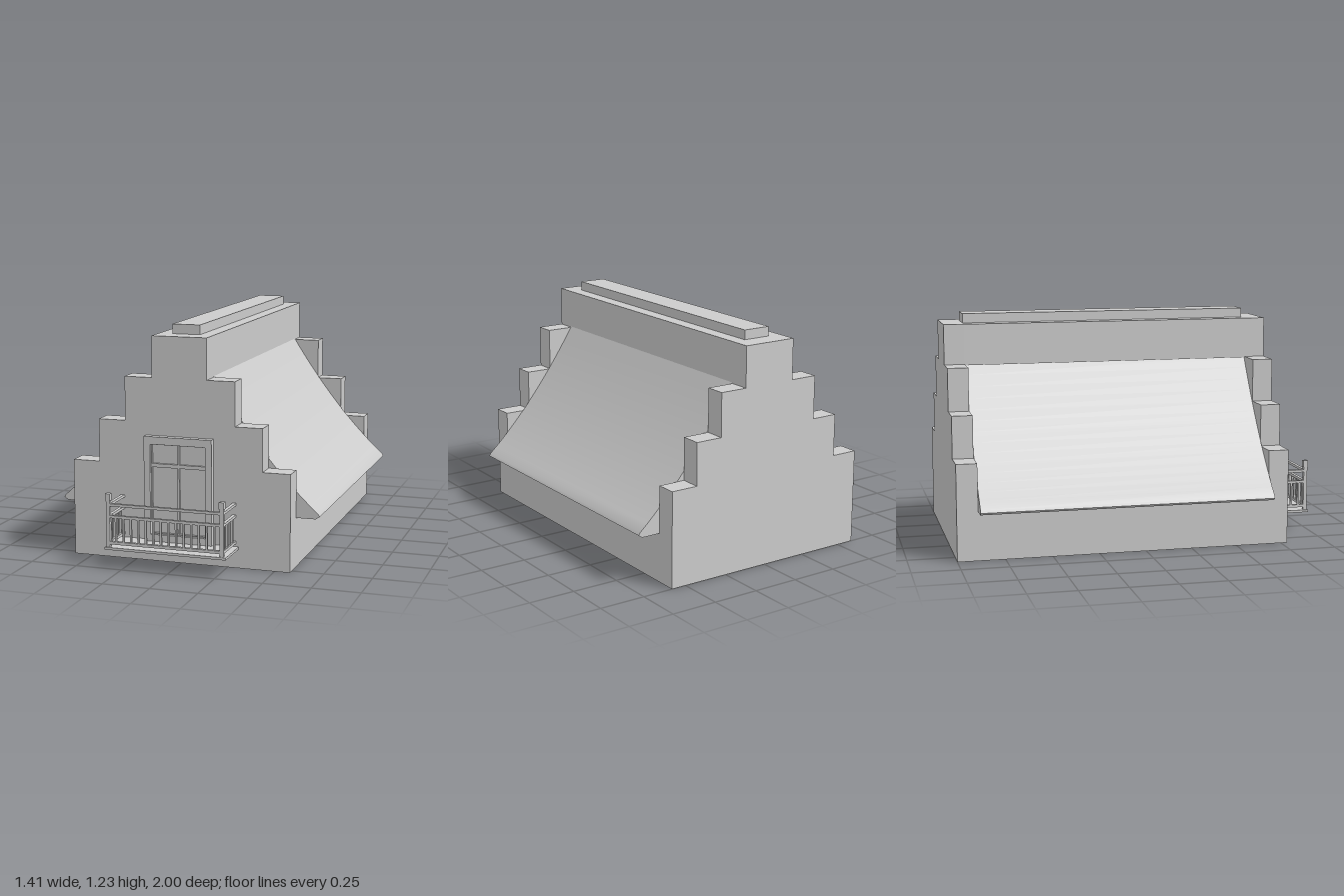
import * as THREE from 'three';
import { toCreasedNormals } from 'three/addons/utils/BufferGeometryUtils.js';

const grey = new THREE.MeshStandardMaterial({ color: 0xcccccc, side: THREE.DoubleSide });
const CX = -0.008;                 // centre line of the walls
const FRONT = 0.785, BACK = -1;    // outer faces of the gables
const ROOF_F = 0.675, ROOF_B = -0.89;

function add(parent, name, geometry) {
  const mesh = new THREE.Mesh(geometry, grey);
  mesh.name = name;
  parent.add(mesh);
  return mesh;
}

// Box given by its limits on each axis
function box(parent, name, x0, x1, y0, y1, z0, z1) {
  const g = new THREE.BoxGeometry(x1 - x0, y1 - y0, z1 - z0);
  g.translate((x0 + x1) / 2, (y0 + y1) / 2, (z0 + z1) / 2);
  return add(parent, name, g);
}

function rect(x0, x1, y0, y1, Type = THREE.Shape) {
  return new Type([[x0, y0], [x1, y0], [x1, y1], [x0, y1]].map(p => new THREE.Vector2(...p)));
}

// Stepped outline, counter-clockwise from the lower right corner
function steps(bottom) {
  const right = [[0.59, bottom], [0.59, 0.51], [0.443, 0.51], [0.443, 0.735],
    [0.297, 0.735], [0.297, 0.965], [0.148, 0.965], [0.148, 1.18]];
  const left = right.map(([x, y]) => [-x, y]).reverse();
  return [...right, ...left].map(([x, y]) => new THREE.Vector2(x + CX, y));
}

// Quads swept along z under an open outline
function strip(points, z0, z1) {
  const pos = [];
  for (let i = 0; i < points.length - 1; i++) {
    const a = points[i], b = points[i + 1];
    pos.push(a.x, a.y, z0, b.x, b.y, z0, b.x, b.y, z1);
    pos.push(a.x, a.y, z0, b.x, b.y, z1, a.x, a.y, z1);
  }
  const g = new THREE.BufferGeometry();
  g.setAttribute('position', new THREE.Float32BufferAttribute(pos, 3));
  g.computeVertexNormals();
  return g;
}

// Gable open at the bottom: outer face, stepped rim, inner face above the eaves
function gable(parent, name, outer, inner) {
  const group = new THREE.Group();
  group.name = name;
  const face = (part, bottom, z, forward) => {
    const m = add(group, part, new THREE.ShapeGeometry(new THREE.Shape(steps(bottom))));
    m.position.z = z;
    if (!forward) {
      m.rotation.y = Math.PI;
      m.position.x = 2 * CX;
    }
  };
  face('outerFace', 0, outer, outer > inner);
  face('innerFace', 0.26, inner, outer < inner);
  add(group, 'steppedRim', strip(steps(0), Math.min(outer, inner), Math.max(outer, inner)));
  parent.add(group);
}

function roof(parent) {
  // Flared slope from eave to ridge
  const curve = new THREE.QuadraticBezierCurve(
    new THREE.Vector2(0.698, 0.288), new THREE.Vector2(0.41, 0.54), new THREE.Vector2(0.14, 0.97));
  const side = [new THREE.Vector2(0.685, 0.26), new THREE.Vector2(0.706, 0.274), ...curve.getPoints(14)];
  const mirrored = side.map(p => new THREE.Vector2(-p.x, p.y)).reverse();
  const g = new THREE.ExtrudeGeometry(new THREE.Shape([...side, ...mirrored]),
    { depth: ROOF_F - ROOF_B, bevelEnabled: false });
  g.translate(0, 0, ROOF_B);
  add(parent, 'roof', toCreasedNormals(g, 0.35));
  box(parent, 'ridge', CX - 0.148, CX + 0.148, 0.96, 1.18, ROOF_B, ROOF_F);
  box(parent, 'ridgeCap', CX - 0.075, CX + 0.075, 1.18, 1.23, ROOF_B, ROOF_F);
}

function door(parent) {
  const group = new THREE.Group();
  group.name = 'balconyDoor';
  const panel = (name, shape, z, depth) => {
    const g = new THREE.ExtrudeGeometry(shape, { depth, bevelEnabled: false });
    g.translate(0, 0, z);
    add(group, name, g);
  };
  const frame = rect(-0.191, 0.175, 0.112, 0.665);
  frame.holes.push(rect(-0.157, 0.141, 0.15, 0.625, THREE.Path));
  panel('doorFrame', frame, FRONT, 0.035);
  const leaves = rect(-0.157, 0.141, 0.112, 0.625);
  for (const [x0, x1] of [[-0.153, -0.014], [-0.004, 0.137]]) {
    leaves.holes.push(rect(x0, x1, 0.155, 0.503, THREE.Path));
    leaves.holes.push(rect(x0, x1, 0.522, 0.621, THREE.Path));
  }
  panel('doorLeaves', leaves, FRONT, 0.018);
  box(group, 'doorPanes', -0.157, 0.141, 0.112, 0.625, FRONT - 0.005, FRONT + 0.004);
  parent.add(group);
}

function balcony(parent) {
  const group = new THREE.Group();
  group.name = 'balcony';
  const left = -0.322, right = 0.286, front = 0.984;
  box(group, 'balconyFloor', -0.34, 0.31, 0.1, 0.113, FRONT, 1);
  const rails = [[0.128, 0.143], [0.266, 0.28], [0.327, 0.341]];
  for (const [y0, y1] of rails) {
    box(group, 'frontRail', left, right, y0, y1, front - 0.009, front + 0.009);
    for (const x of [left, right]) box(group, 'sideRail', x - 0.009, x + 0.009, y0, y1, FRONT, front);
  }
  for (const x of [left, right]) {
    box(group, 'post', x - 0.01, x + 0.01, 0.113, 0.36, front - 0.01, front + 0.01);
    box(group, 'postCap', x - 0.013, x + 0.013, 0.357, 0.393, front - 0.013, front + 0.013);
    for (let i = 0; i < 4; i++) {
      const z = 0.822 + i * 0.041;
      box(group, 'sideBaluster', x - 0.005, x + 0.005, 0.143, 0.266, z - 0.005, z + 0.005);
    }
  }
  for (let i = 1; i <= 14; i++) {
    const x = left + (right - left) * i / 15;
    box(group, 'frontBaluster', x - 0.005, x + 0.005, 0.143, 0.266, front - 0.005, front + 0.005);
  }
  parent.add(group);
}

export function createModel() {
  const model = new THREE.Group();
  model.name = 'steppedGableHouse';
  gable(model, 'frontGable', FRONT, ROOF_F);
  gable(model, 'backGable', BACK, ROOF_B);
  // Side walls reach just under the roof surface
  const wall = (x, y0, y1) => [new THREE.Vector2(x, y0), new THREE.Vector2(x, y1)];
  add(model, 'leftWall', strip(wall(CX + 0.59, 0, 0.3), ROOF_B, ROOF_F));
  add(model, 'rightWall', strip(wall(CX - 0.59, 0.3, 0), ROOF_B, ROOF_F));
  roof(model);
  door(model);
  balcony(model);
  return model;
}
